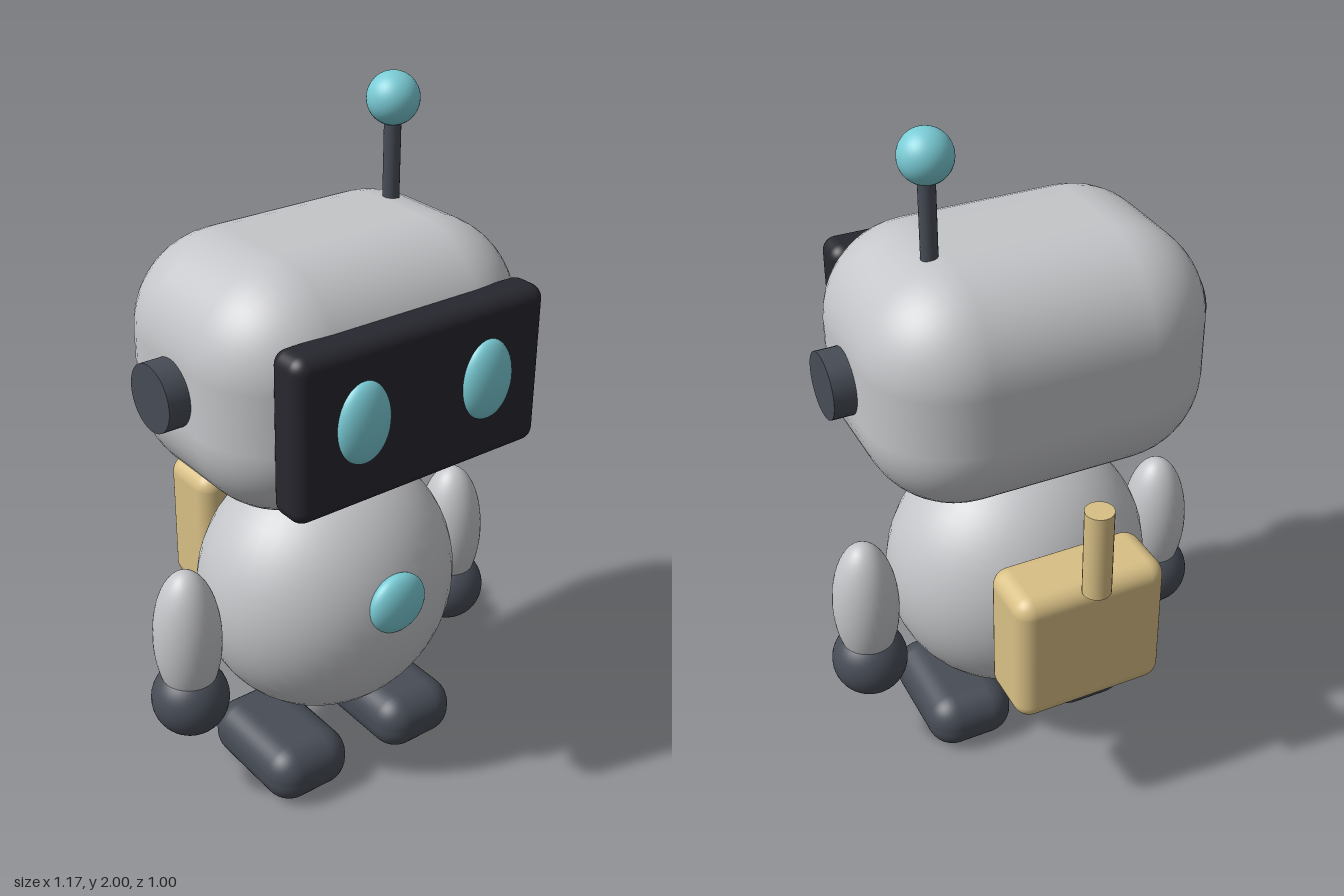
import * as THREE from 'three';
import { RoundedBoxGeometry } from 'three/addons/geometries/RoundedBoxGeometry.js';

const paint = (name, color) => {
  const m = new THREE.MeshStandardMaterial({ color });
  m.name = name;
  return m;
};

export function createModel() {
  const shell = paint('light grey shell', 0xc4c5c8);
  const slate = paint('slate', 0x474c56);
  const black = paint('visor black', 0x27272f);
  const teal = paint('teal glow', 0x7accd6);
  const tan = paint('tan', 0xd8bf85);

  const robot = new THREE.Group();
  robot.name = 'robot';

  const add = (name, geometry, material, x, y, z) => {
    const mesh = new THREE.Mesh(geometry, material);
    mesh.name = name;
    mesh.position.set(x, y, z);
    robot.add(mesh);
    return mesh;
  };
  const ellipsoid = (rx, ry, rz) => new THREE.SphereGeometry(1, 40, 28).scale(rx, ry, rz);
  const block = (w, h, d, r, segments = 5) => new RoundedBoxGeometry(w, h, d, segments, r);

  // Head with its visor
  add('head', block(0.97, 0.685, 0.73, 0.26, 6), shell, 0, 1.3225, 0.04);
  add('visor', block(0.79, 0.45, 0.12, 0.04), black, 0, 1.31, 0.395);

  // Antenna
  add('antennaRod', new THREE.CylinderGeometry(0.023, 0.023, 0.26, 20), slate, 0.263, 1.76, -0.025);
  add('antennaBall', ellipsoid(0.071, 0.071, 0.071), teal, 0.263, 1.929, -0.025);

  // Torso with its chest light
  add('body', ellipsoid(0.39, 0.395, 0.34), shell, 0, 0.585, 0.04);
  add('chestLight', ellipsoid(0.092, 0.09, 0.045), teal, 0, 0.665, 0.365);

  // Backpack with an upright peg
  add('backpack', block(0.446, 0.415, 0.21, 0.05), tan, 0, 0.6225, -0.355);
  add('backpackPeg', new THREE.CylinderGeometry(0.04, 0.04, 0.265, 24), tan, 0, 0.9525, -0.46);

  // Paired parts
  for (const [label, s] of [['left', 1], ['right', -1]]) {
    add(label + 'Eye', ellipsoid(0.08, 0.112, 0.045), teal, s * 0.198, 1.325, 0.452);
    const ear = new THREE.CylinderGeometry(0.092, 0.092, 0.12, 32).rotateZ(Math.PI / 2);
    add(label + 'Ear', ear, slate, s * 0.487, 1.325, 0.04);
    add(label + 'Arm', ellipsoid(0.096, 0.215, 0.098), shell, s * 0.475, 0.565, 0.04);
    add(label + 'Hand', ellipsoid(0.111, 0.111, 0.111), slate, s * 0.475, 0.36, 0.04);
    add(label + 'Foot', block(0.264, 0.175, 0.394, 0.08), slate, s * 0.198, 0.0875, 0.082);
  }

  return robot;
}
